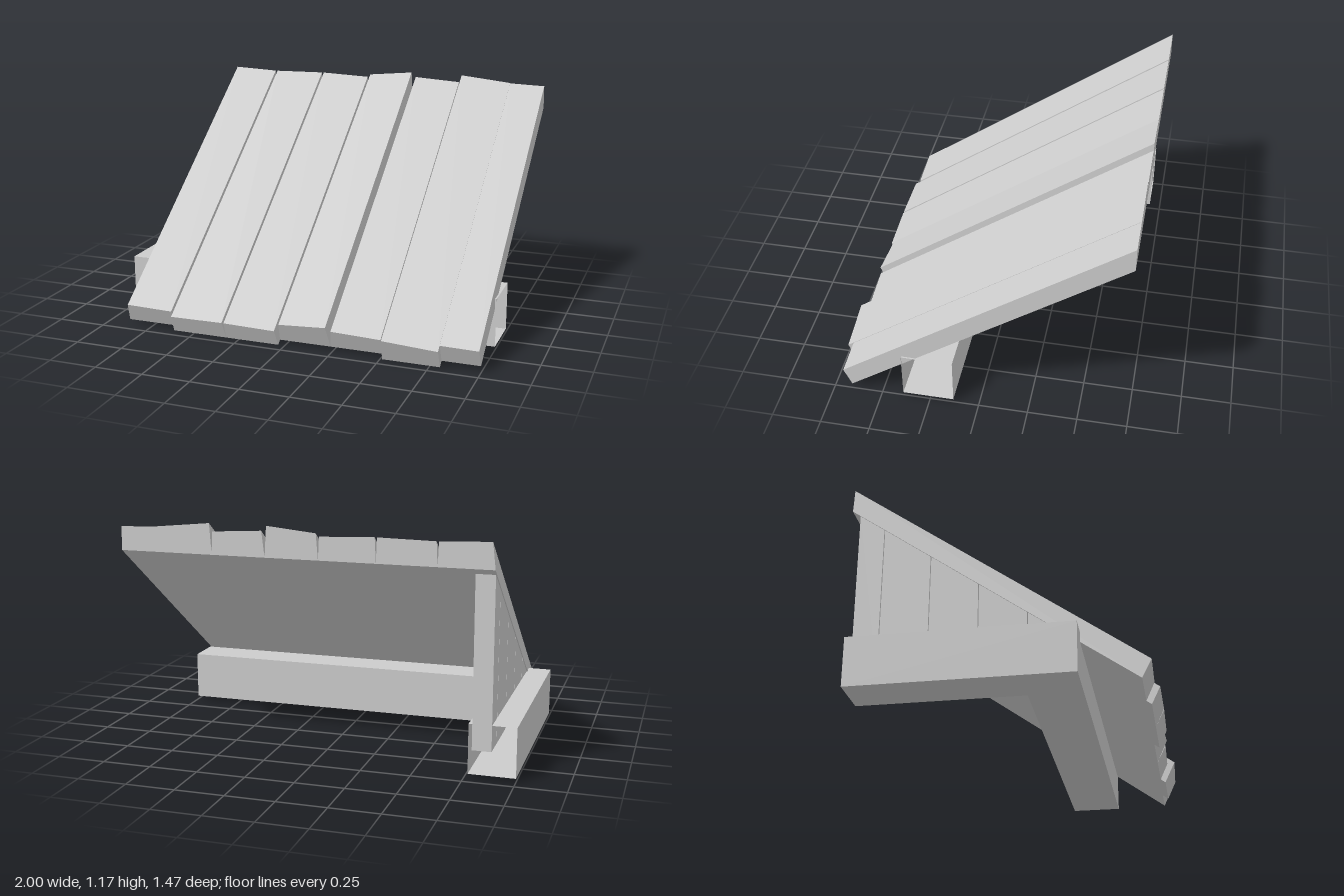
import * as THREE from 'three';

const grey = new THREE.MeshStandardMaterial({ color: 0xcccccc, flatShading: true });
const thin = new THREE.MeshStandardMaterial({ color: 0xcccccc, flatShading: true, side: THREE.DoubleSide });

// Height of the sloping underside of the roof
const under = (z) => 0.02 + 0.717 * (0.665 - z);

// Mesh from a list of four-cornered faces
function quadMesh(name, quads, material) {
  const pos = [];
  for (const [a, b, c, d] of quads) for (const p of [a, b, c, a, c, d]) pos.push(...p);
  const geo = new THREE.BufferGeometry();
  geo.setAttribute('position', new THREE.Float32BufferAttribute(pos, 3));
  geo.computeVertexNormals();
  const mesh = new THREE.Mesh(geo, material);
  mesh.name = name;
  return mesh;
}

// Solid board between a right-hand section a and a left-hand section b
function board(name, a, b) {
  const quads = [a, [...b].reverse()];
  for (let j = 0; j < 4; j++) {
    const k = (j + 1) % 4;
    quads.push([a[k], a[j], b[j], b[k]]);
  }
  return quadMesh(name, quads, grey);
}

// Uneven roof planks, bevelled so that V-shaped grooves open between them
function roof() {
  const group = new THREE.Group();
  group.name = 'roof';
  const edges = [-0.885, -0.615, -0.32, -0.035, 0.235, 0.51, 0.8, 0.993];
  // left inset, right inset, left thickness, right thickness, low end z
  const planks = [
    [0.015, 0.006, 0.13, 0.12, 0.665],
    [0.006, 0.005, 0.12, 0.125, 0.69],
    [0.006, 0.006, 0.125, 0.115, 0.69],
    [0.01, 0.01, 0.13, 0.155, 0.665],
    [0.015, 0.005, 0.13, 0.115, 0.665],
    [0.01, 0, 0.155, 0.127, 0.69],
    [0, 0.002, 0.125, 0.12, 0.66],
  ];
  planks.forEach(([insetA, insetB, hA, hB, low], i) => {
    const section = (x, topX, h) => {
      const topZ = low + 0.35 * h;
      return [
        [x, under(low), low],
        [topX, under(topZ) + h, topZ],
        [topX, under(-0.73) + h, -0.73],
        [x, under(-0.73), -0.73],
      ];
    };
    group.add(board('roofPlank',
      section(edges[i], edges[i] + insetA, hA),
      section(edges[i + 1], edges[i + 1] - insetB, hB)));
  });
  return group;
}

// Upright side planks, narrower inside, cut off along the roof slope
function sideWall() {
  const group = new THREE.Group();
  group.name = 'sideWall';
  const edges = [-0.69, -0.562, -0.324, -0.087, 0.148, 0.38];
  const section = (x, z0, z1) => [
    [x, 0.14, z1], [x, under(z1) + 0.015, z1],
    [x, under(z0) + 0.015, z0], [x, 0.14, z0],
  ];
  for (let i = 0; i < 5; i++) {
    const z0 = edges[i], z1 = edges[i + 1];
    group.add(board('wallPlank',
      section(-0.88, z0 + (i ? 0.002 : 0), z1 - 0.002),
      section(-0.785, z0 + (i ? 0.012 : 0), z1 - 0.016)));
  }
  return group;
}

// Hollow L-shaped footing, open at both ends
function footing() {
  const y0 = 0.02, y1 = 0.27;
  const outer = [[-1, -0.69], [-1, 0.39], [1, 0.39]];
  const inner = [[-0.767, -0.69], [-0.767, 0.13], [1, 0.13]];
  const at = ([x, z], y) => [x, y, z];
  const quads = [];
  for (let i = 0; i < 2; i++) {
    const [o, p, q, r] = [outer[i], outer[i + 1], inner[i + 1], inner[i]];
    quads.push(
      [at(o, y1), at(p, y1), at(q, y1), at(r, y1)],
      [at(r, y0), at(q, y0), at(p, y0), at(o, y0)],
      [at(o, y0), at(p, y0), at(p, y1), at(o, y1)],
      [at(q, y0), at(r, y0), at(r, y1), at(q, y1)]);
  }
  return quadMesh('footing', quads, thin);
}

export function createModel() {
  const model = new THREE.Group();
  model.name = 'leanTo';
  model.add(roof(), sideWall(), footing());
  return model;
}
